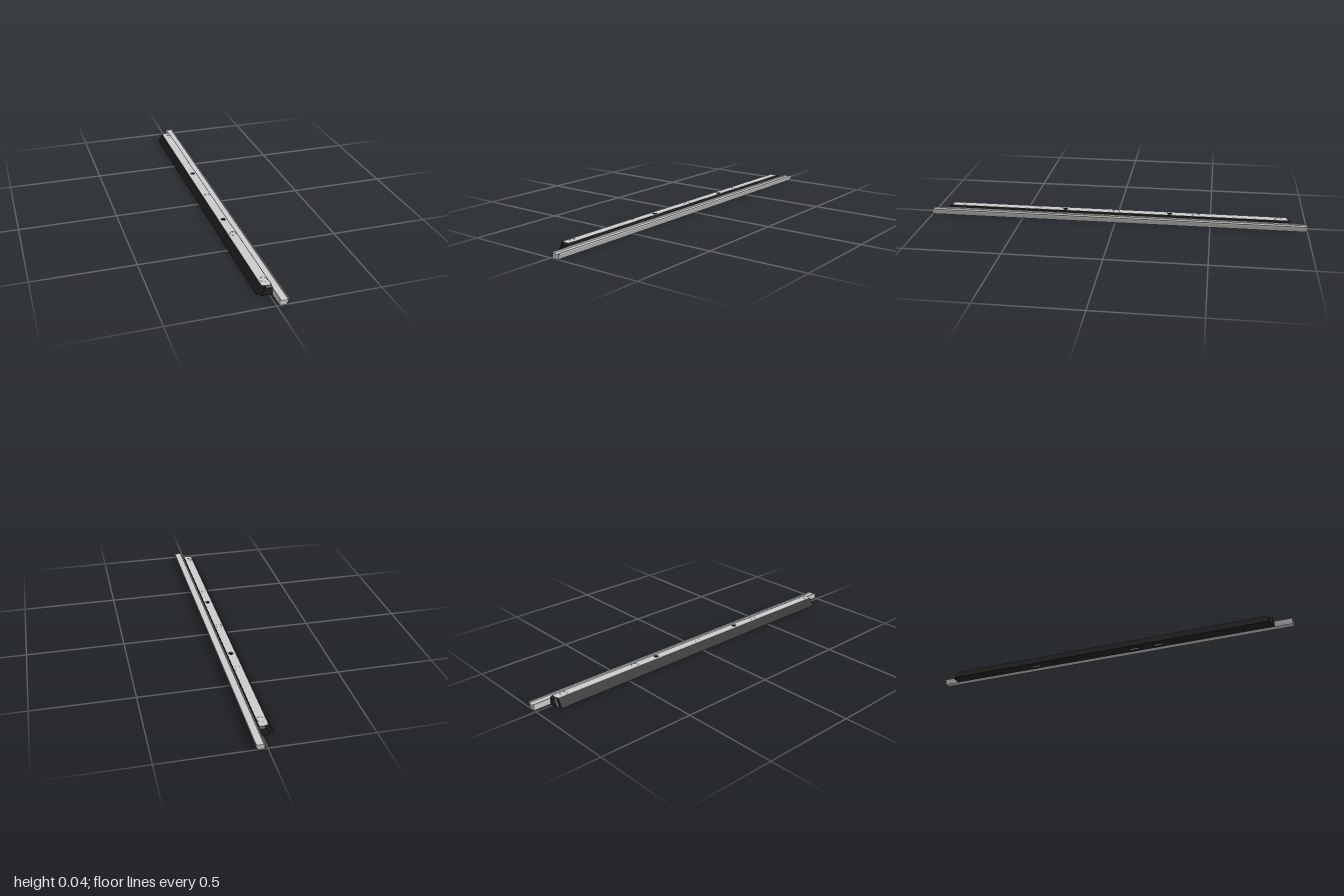
import * as THREE from 'three';

const HOLE_X = -0.007;
const SCREWS = [-0.85, -0.425, 0, 0.425, 0.85];
const BORES = [-0.285, 0.275];
const POCKETS = [-0.4, 0.175, 0.31];

const polygon = (pts) => new THREE.Shape(pts.map(([x, y]) => new THREE.Vector2(x, y)));

function circleHole(x, z, r) {
  const path = new THREE.Path();
  path.absarc(x, z, r, 0, Math.PI * 2, true);
  return path;
}

// Extrudes a plan drawn in (x, z) upward from yBottom to yTop.
function extrudeUp(shape, yBottom, yTop, steps = 1) {
  const geo = new THREE.ExtrudeGeometry(shape, {
    depth: yTop - yBottom, bevelEnabled: false, curveSegments: 16, steps,
  });
  return geo.rotateX(Math.PI / 2).translate(0, yTop, 0);
}

export function createModel() {
  const group = new THREE.Group();
  const grey = new THREE.MeshStandardMaterial({ color: 0xcccccc });
  const black = new THREE.MeshStandardMaterial({ color: 0x222222 });
  const add = (name, geo, mat) => {
    const mesh = new THREE.Mesh(geo, mat);
    mesh.name = name;
    group.add(mesh);
    return mesh;
  };

  // Full-length rail: shallow channel with two lips and a slanted outer side
  const rail = polygon([
    [0.014, 0], [0.045, 0], [0.056, 0.025], [0.056, 0.031], [0.052, 0.031],
    [0.052, 0.024], [0.018, 0.024], [0.018, 0.031], [0.014, 0.031],
  ]);
  add('rail', new THREE.ExtrudeGeometry(rail, { depth: 2, bevelEnabled: false }).translate(0, 0, -1), grey);

  // Dark housing: stepped ends, through bores and rectangular pockets
  const top = 0.0436;
  const plan = polygon([
    [-0.056, -0.895], [-0.037, -0.895], [-0.037, -0.91], [0.014, -0.91],
    [0.014, 0.91], [-0.037, 0.91], [-0.037, 0.895], [-0.056, 0.895],
  ]);
  for (const z of BORES) plan.holes.push(circleHole(HOLE_X, z, 0.007));
  for (const z of POCKETS) {
    const [x0, x1, z0, z1] = [HOLE_X - 0.013, HOLE_X + 0.011, z - 0.025, z + 0.025];
    plan.holes.push(new THREE.Path([[x0, z0], [x0, z1], [x1, z1], [x1, z0]].map((p) => new THREE.Vector2(...p))));
  }
  const body = extrudeUp(plan, 0, top, 6);
  const pos = body.attributes.position;
  for (let i = 0; i < pos.count; i++) {
    const y = pos.getY(i);
    // lean the outer wall inward and chamfer the upper end edges
    if (pos.getX(i) < -0.03) pos.setX(i, pos.getX(i) + 0.024 * y / top);
    if (y > top - 0.001) pos.setZ(i, THREE.MathUtils.clamp(pos.getZ(i), -0.9, 0.9));
  }
  body.computeVertexNormals();
  add('housing', body, black);

  // Cover plate on top, cut for the screws and bores
  const cover = polygon([
    [-0.032, -0.893], [-0.013, -0.9], [0.011, -0.9],
    [0.011, 0.9], [-0.013, 0.9], [-0.032, 0.893],
  ]);
  for (const z of SCREWS) cover.holes.push(circleHole(HOLE_X, z, 0.018));
  for (const z of BORES) cover.holes.push(circleHole(HOLE_X, z, 0.013));
  add('coverPlate', extrudeUp(cover, 0.0434, 0.0445), grey);

  // Flush screw heads
  for (const z of SCREWS) {
    add('screwHead', new THREE.CylinderGeometry(0.017, 0.017, 0.002, 32), grey).position.set(HOLE_X, 0.0432, z);
  }

  // Light inserts seated in the underside pockets
  for (const z of POCKETS) {
    add('pocketInsert', new THREE.BoxGeometry(0.024, 0.03, 0.05), grey).position.set(HOLE_X - 0.001, 0.021, z);
  }

  return group;
}
